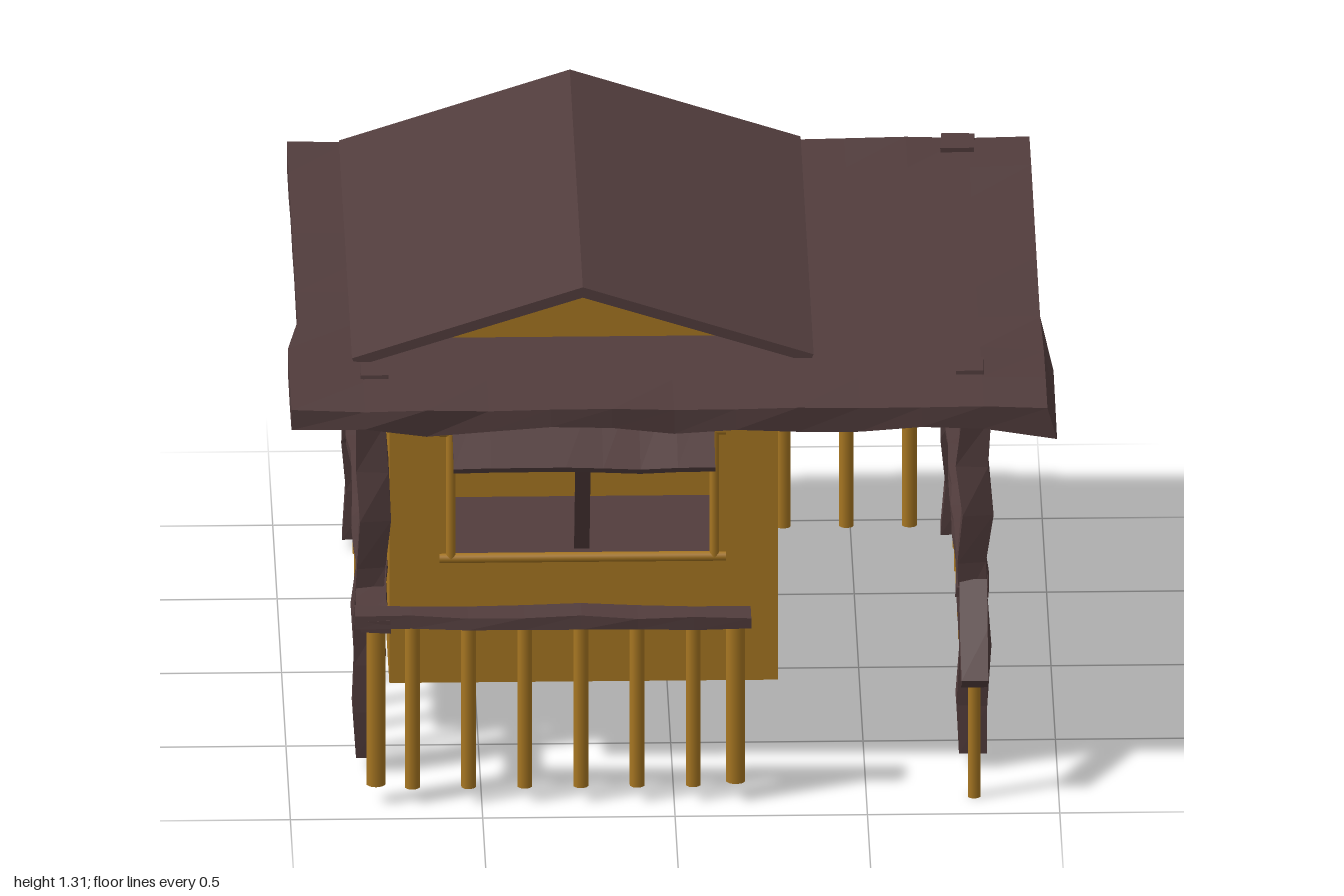
import * as THREE from 'three';

const wood = new THREE.MeshStandardMaterial({ color: 0x523d3d });
wood.name = 'dark wood';
const bamboo = new THREE.MeshStandardMaterial({ color: 0xa87722 });
bamboo.name = 'golden bamboo';

// Repeatable value from -1 to 1 for a point
function noise(x, y, z) {
  const s = Math.sin(Math.round(x * 1000) * 12.99 + Math.round(y * 1000) * 78.23 + Math.round(z * 1000) * 37.72) * 437.585;
  return (s - Math.floor(s)) * 2 - 1;
}

// Faceted box whose vertices are moved by a rule
function warpedBox(size, segs, rule) {
  const geo = new THREE.BoxGeometry(...size, ...segs).toNonIndexed();
  const p = geo.attributes.position;
  const v = new THREE.Vector3();
  for (let i = 0; i < p.count; i++) {
    v.fromBufferAttribute(p, i);
    rule(v);
    p.setXYZ(i, v.x, v.y, v.z);
  }
  geo.computeVertexNormals();
  return geo;
}

export function createModel() {
  const root = new THREE.Group();

  function add(name, geo, mat, x = 0, y = 0, z = 0) {
    const mesh = new THREE.Mesh(geo, mat);
    mesh.name = name;
    mesh.position.set(x, y, z);
    root.add(mesh);
    return mesh;
  }
  function box(name, mat, x0, x1, y0, y1, z0, z1) {
    return add(name, new THREE.BoxGeometry(x1 - x0, y1 - y0, z1 - z0), mat, (x0 + x1) / 2, (y0 + y1) / 2, (z0 + z1) / 2);
  }
  // Rough hewn beam between two corners, wavy along its longest axis
  function beam(name, x0, x1, y0, y1, z0, z1, amp) {
    const size = [x1 - x0, y1 - y0, z1 - z0];
    const axis = size.indexOf(Math.max(...size));
    const segs = size.map((s, i) => (i === axis ? Math.max(2, Math.round(s / 0.14)) : 1));
    const c = [(x0 + x1) / 2, (y0 + y1) / 2, (z0 + z1) / 2];
    const geo = warpedBox(size, segs, (v) => {
      const o = v.clone();
      const along = [o.x, o.y, o.z][axis];
      ['x', 'y', 'z'].forEach((k, i) => {
        if (i === axis) return;
        v[k] += amp * (0.6 * noise(along, i, c[0] + c[2]) + 0.4 * noise(o.x + i, o.y, o.z));
      });
    });
    return add(name, geo, wood, ...c);
  }
  // Round pole between two points
  function pole(name, a, b, r) {
    const from = new THREE.Vector3(...a), to = new THREE.Vector3(...b);
    const dir = to.clone().sub(from);
    const mesh = add(name, new THREE.CylinderGeometry(r, r, dir.length(), 10), bamboo);
    mesh.position.copy(from).add(to).multiplyScalar(0.5);
    mesh.quaternion.setFromUnitVectors(new THREE.Vector3(0, 1, 0), dir.normalize());
  }
  // Wall plate with a rectangular opening
  function holedWall(name, u0, u1, v0, v1, h) {
    const rect = (T, a, b, c, d) => {
      const s = new T();
      s.moveTo(a, c); s.lineTo(b, c); s.lineTo(b, d); s.lineTo(a, d); s.closePath();
      return s;
    };
    const shape = rect(THREE.Shape, u0, u1, v0, v1);
    shape.holes.push(rect(THREE.Path, ...h));
    return add(name, new THREE.ExtrudeGeometry(shape, { depth: 0.02, bevelEnabled: false }), bamboo);
  }

  // Hut walls and floor
  const X0 = -0.73, X1 = 0.28, Z0 = -0.79, Z1 = 0.44, Y0 = 0.15, Y1 = 1.07;
  box('floor', wood, X0 + 0.005, X1 - 0.005, Y0 - 0.002, Y0 + 0.02, Z0 + 0.005, Z1 - 0.005);
  box('backWall', bamboo, X0, X1, Y0, Y1, Z0, Z0 + 0.02);
  box('leftWall', bamboo, X0, X0 + 0.02, Y0, Y1, Z0 + 0.02, Z1 - 0.02);
  holedWall('frontWall', X0, X1, Y0, Y1, [-0.57, 0.11, 0.5, 0.86]).position.z = Z1 - 0.02;
  const doorWall = holedWall('doorWall', -Z1 + 0.02, -Z0 - 0.02, Y0, Y1, [0.28, 0.7, Y0 + 0.02, 0.74]);
  doorWall.rotation.y = Math.PI / 2;
  doorWall.position.x = X1 - 0.02;

  // Window frame, awning flap and its prop
  for (const y of [0.5, 0.855]) pole('windowRail', [-0.6, y, Z1], [0.145, y, Z1], 0.013);
  for (const x of [-0.57, 0.115]) pole('windowPost', [x, 0.5, Z1], [x, 0.855, Z1], 0.013);
  const flap = add('awning', warpedBox([0.68, 0.016, 0.34], [7, 1, 1], (v) => {
    if (v.z > 0) v.y += 0.006 * noise(v.x, 0, 1);
  }), wood, -0.23, 0.945, 0.605);
  flap.rotation.x = Math.atan2(0.14, 0.31);
  const prop = add('awningProp', new THREE.BoxGeometry(0.04, 0.44, 0.012), wood, -0.23, 0.73, 0.54);
  prop.rotation.x = Math.atan2(0.19, 0.4);

  // Door frame
  pole('doorLintel', [X1, 0.735, -0.22], [X1, 0.735, -0.76], 0.018);
  for (const z of [-0.28, -0.7]) pole('doorPost', [X1, Y0, z], [X1, 0.735, z], 0.015);

  // Flat main roof with a rough rim, flaring toward the front
  const roof = warpedBox([1.93, 0.055, 1.83], [12, 1, 9], (v) => {
    const o = v.clone();
    const side = Math.abs(o.x) > 0.96, end = Math.abs(o.z) > 0.91;
    const n = noise(o.x, o.y, o.z);
    if (side && o.z > 0.35) v.x += Math.sign(o.x) * (o.y < 0 || o.x < 0 ? 0.03 : 0.005);
    if (side || end) {
      v.y += o.y < 0 ? 0.016 * n - 0.004 : 0.006 * n;
      if (end && !side) v.z += 0.007 * n;
      if (side && o.z > 0.35) v.y += o.x > 0 ? (o.y < 0 ? -0.02 : -0.01) : 0.012;
    }
  });
  add('mainRoof', roof, wood, 0, 1.08, -0.005);

  // Gable on top: infill and two sloping panels
  const profile = (pts) => new THREE.Shape(pts.map(([x, y]) => new THREE.Vector2(x, y)));
  const extrude = (pts, depth) => new THREE.ExtrudeGeometry(profile(pts), { depth, bevelEnabled: false });
  add('gableInfill', extrude([[-0.73, 1.12], [0.27, 1.12], [-0.23, 1.282]], 1.23), bamboo, 0, 0, Z0);
  for (const s of [-1, 1]) {
    const pts = [[-0.23, 1.283], [-0.23 + s * 0.59, 1.095], [-0.23 + s * 0.6, 1.118], [-0.23, 1.312]];
    add('gablePanel', extrude(pts, 1.48), wood, 0, 0, -0.91);
  }

  // Corner posts poking through the roof
  for (const x of [-0.78, 0.78]) {
    beam('frontPost', x - 0.04, x + 0.04, 0.04, 1.118, 0.6, 0.695, 0.016);
    beam('backPost', x - 0.04, x + 0.04, 0.03, 1.118, -0.92, -0.825, 0.016);
  }

  // Handrails
  beam('rightRail', 0.74, 0.82, 0.493, 0.525, -0.92, 0.71, 0.01);
  beam('leftRail', -0.82, -0.74, 0.493, 0.525, -0.92, 0.92, 0.01);
  beam('backRail', -0.82, 0.82, 0.493, 0.525, -0.91, -0.83, 0.01);
  beam('frontRail', -0.83, 0.2, 0.493, 0.528, 0.84, 0.92, 0.01);
  const slope = beam('stepRail', 0.745, 0.815, -0.018, 0.018, -0.15, 0.15, 0.006);
  slope.position.set(0.78, 0.425, 0.8);
  slope.rotation.x = Math.atan2(0.18, 0.22);

  // Balusters
  const baluster = (x, z, r = 0.02, y0 = 0.04, y1 = 0.5) => pole('baluster', [x, y0, z], [x, y1, z], r);
  for (let i = 0; i < 9; i++) {
    const z = 0.52 - i * 0.154;
    baluster(0.78, z);
    baluster(-0.78, z);
    baluster(-0.66 + i * 0.164, -0.87);
  }
  for (let i = 0; i < 6; i++) baluster(-0.68 + i * 0.146, 0.88);
  for (const x of [-0.775, 0.16]) baluster(x, 0.88, 0.026, 0.05);
  baluster(0.78, 0.88, 0.017, 0, 0.35);

  return root;
}
